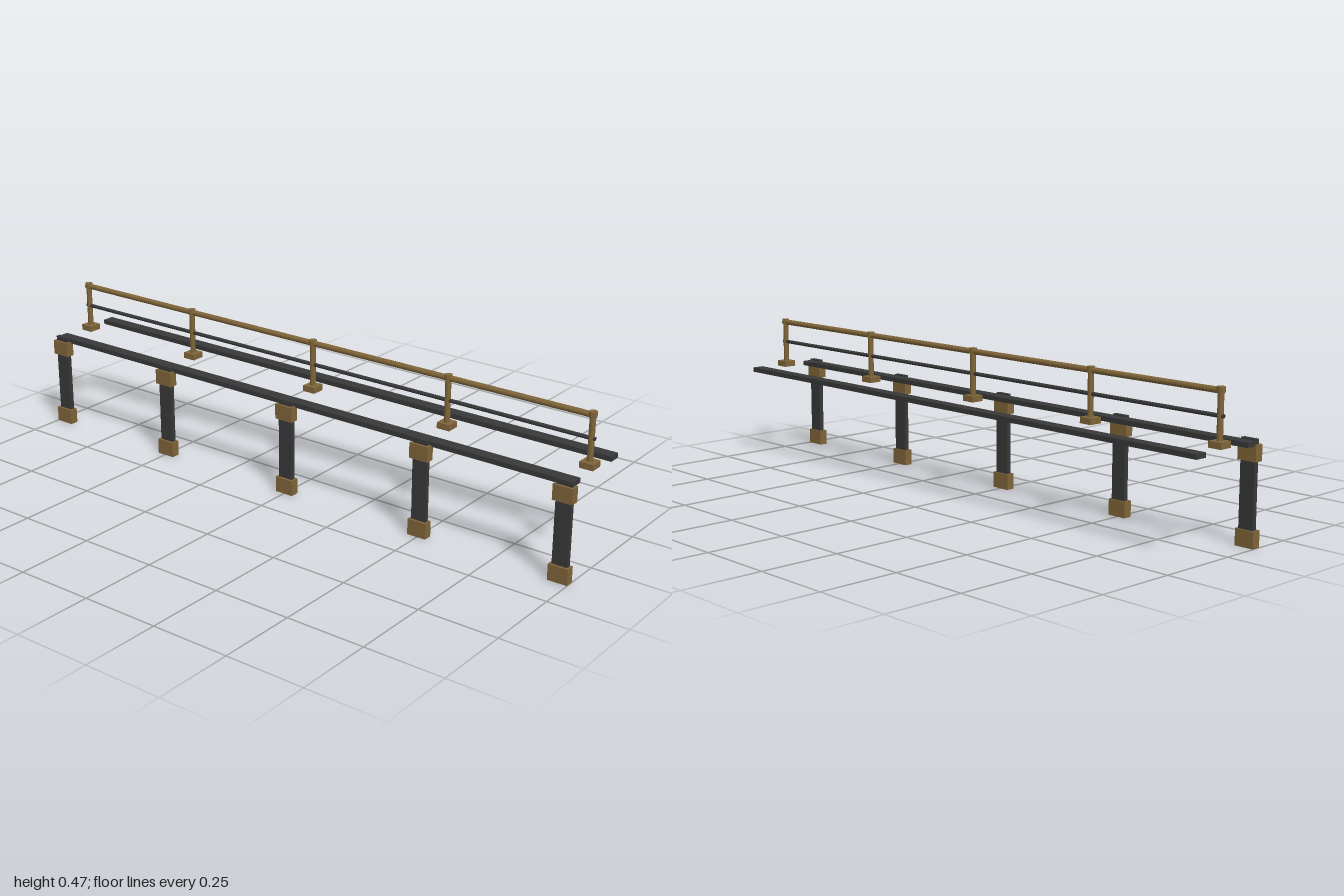
import * as THREE from 'three';

const brown = new THREE.MeshStandardMaterial({ color: 0x7f6539 });
const dark = new THREE.MeshStandardMaterial({ color: 0x383838 });

export function createModel() {
  const model = new THREE.Group();

  const add = (parent, name, geometry, material, x, y, z) => {
    const mesh = new THREE.Mesh(geometry, material);
    mesh.name = name;
    mesh.position.set(x, y, z);
    parent.add(mesh);
    return mesh;
  };
  // Box given by its x centre and width, and its y and z limits
  const box = (parent, name, x, width, y0, y1, z0, z1, material) =>
    add(parent, name, new THREE.BoxGeometry(width, y1 - y0, z1 - z0), material,
      x, (y0 + y1) / 2, (z0 + z1) / 2);
  // Upright cylinder between two heights
  const upright = (parent, name, radius, y0, y1, x, z) =>
    add(parent, name, new THREE.CylinderGeometry(radius, radius, y1 - y0, 24), brown,
      x, (y0 + y1) / 2, z);

  const railZ = -0.009;
  for (const x of [-0.968, -0.497, 0, 0.497, 0.968]) {
    // Supporting leg with a foot and a collar
    const leg = new THREE.Group();
    leg.name = 'supportLeg';
    box(leg, 'legShaft', x, 0.049, 0.005, 0.308, 0.116, 0.131, dark);
    box(leg, 'legFoot', x, 0.063, 0, 0.05, 0.111, 0.139, brown);
    box(leg, 'legCollar', x, 0.063, 0.245, 0.293, 0.111, 0.139, brown);
    model.add(leg);

    // Railing post with a square base and a round cap
    const post = new THREE.Group();
    post.name = 'railingPost';
    box(post, 'postBase', x, 0.043, 0.299, 0.318, railZ - 0.0215, railZ + 0.0215, brown);
    upright(post, 'postShaft', 0.009, 0.318, 0.45, x, railZ);
    upright(post, 'postCap', 0.012, 0.449, 0.466, x, railZ);
    model.add(post);
  }

  // Long beams at the front and back
  box(model, 'frontBeam', -0.003, 1.983, 0.289, 0.304, 0.08, 0.119, dark);
  box(model, 'backBeam', -0.003, 1.983, 0.289, 0.304, -0.138, -0.099, dark);

  // Horizontal rails
  for (const [name, radius, y, length, material] of [
    ['handRail', 0.009, 0.455, 1.955, brown],
    ['middleRail', 0.006, 0.386, 1.96, dark],
  ]) {
    const rail = add(model, name, new THREE.CylinderGeometry(radius, radius, length, 24),
      material, 0, y, railZ);
    rail.rotation.z = Math.PI / 2;
  }

  return model;
}
